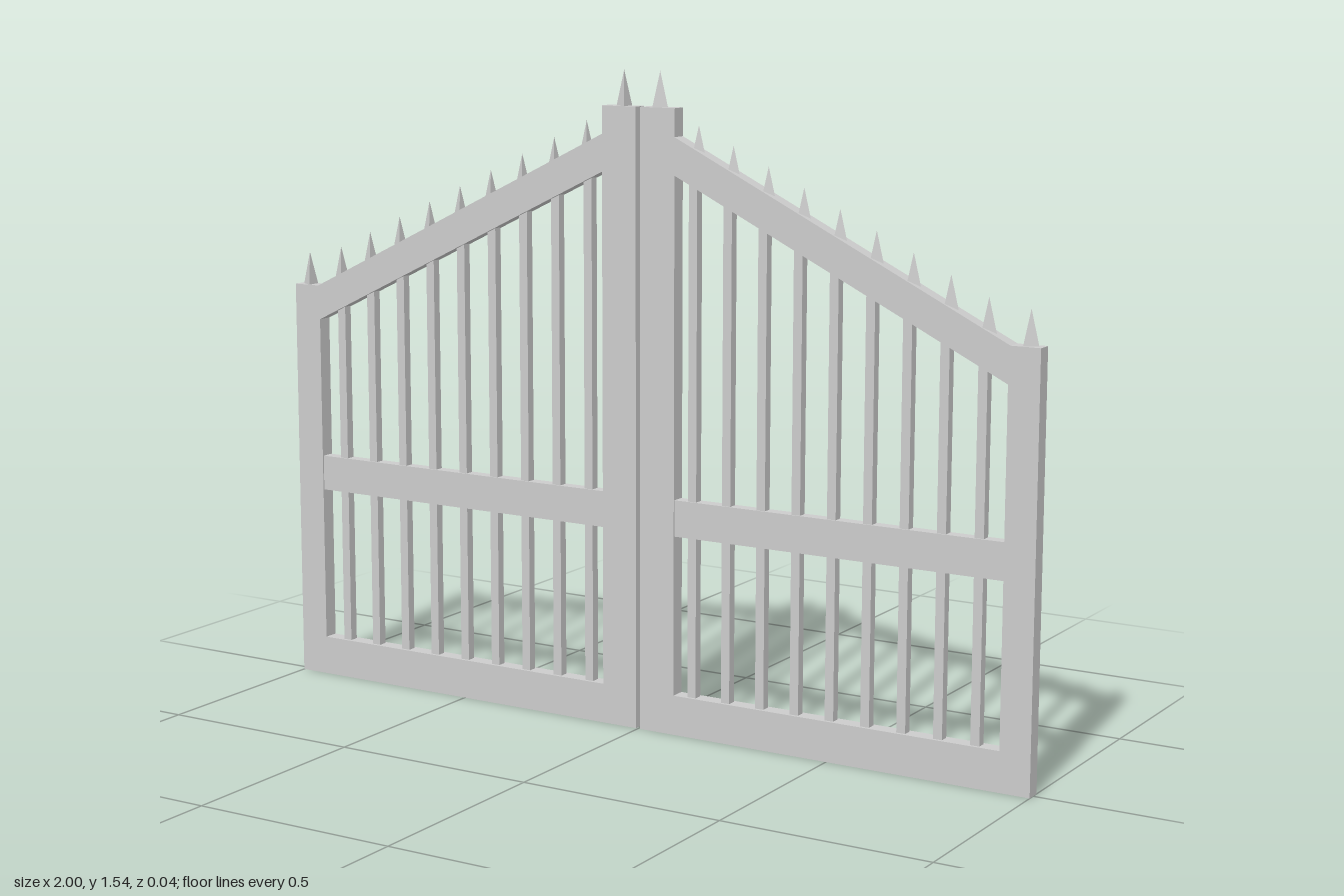
import * as THREE from 'three';

const DEPTH = 0.037;
const material = new THREE.MeshStandardMaterial({ color: 0xcccccc, flatShading: true });

function addPart(parent, name, geometry, x = 0, y = 0, z = 0) {
  const mesh = new THREE.Mesh(geometry, material);
  mesh.name = name;
  mesh.position.set(x, y, z);
  parent.add(mesh);
}

const toPoints = (list) => list.map(([x, y]) => new THREE.Vector2(x, y));

// One gate leaf, on the +x side
function createLeaf(name) {
  const leaf = new THREE.Group();
  leaf.name = name;

  // Frame: tall inner post, sloping top rail, short outer post, bottom rail
  const outline = new THREE.Shape(toPoints([
    [0.006, 0], [1, 0], [1, 0.99], [0.93, 0.99],
    [0.097, 1.398], [0.097, 1.463], [0.006, 1.463],
  ]));
  outline.holes.push(new THREE.Path(toPoints([
    [0.097, 0.095], [0.097, 1.311], [0.926, 0.906], [0.926, 0.095],
  ])));
  const frame = new THREE.ExtrudeGeometry(outline, { depth: DEPTH, bevelEnabled: false });
  addPart(leaf, 'frame', frame, 0, 0, -DEPTH / 2);

  // Middle rail, slightly recessed from the frame
  addPart(leaf, 'middleRail', new THREE.BoxGeometry(0.829, 0.086, 0.03), 0.5115, 0.518);

  // Three-sided spikes, one edge pointing outwards
  const spike = new THREE.ConeGeometry(0.0213, 0.085, 3, 1, false, Math.PI / 2);
  const addSpike = (x, tip) => addPart(leaf, 'spike', spike, x, tip - 0.0425);
  addSpike(0.048, 1.545);
  addSpike(0.968, 1.07);

  // Upright bars, each with a spike above the sloping rail
  for (let i = 0; i < 9; i++) {
    const x = 0.1415 + i * 0.0903;
    const top = 1.33 - (x - 0.097) * 0.489;
    addPart(leaf, 'bar', new THREE.BoxGeometry(0.022, top - 0.08, 0.022), x, (top + 0.08) / 2);
    const spikeX = 0.15 + i * 0.09;
    addSpike(spikeX, 1.426 - (spikeX - 0.15) * 0.469);
  }
  return leaf;
}

export function createModel() {
  const gate = new THREE.Group();
  gate.name = 'gate';
  const left = createLeaf('leftLeaf');
  // The leaf is symmetric front to back, so a half turn mirrors it
  const right = createLeaf('rightLeaf');
  right.rotation.y = Math.PI;
  gate.add(left, right);
  return gate;
}
